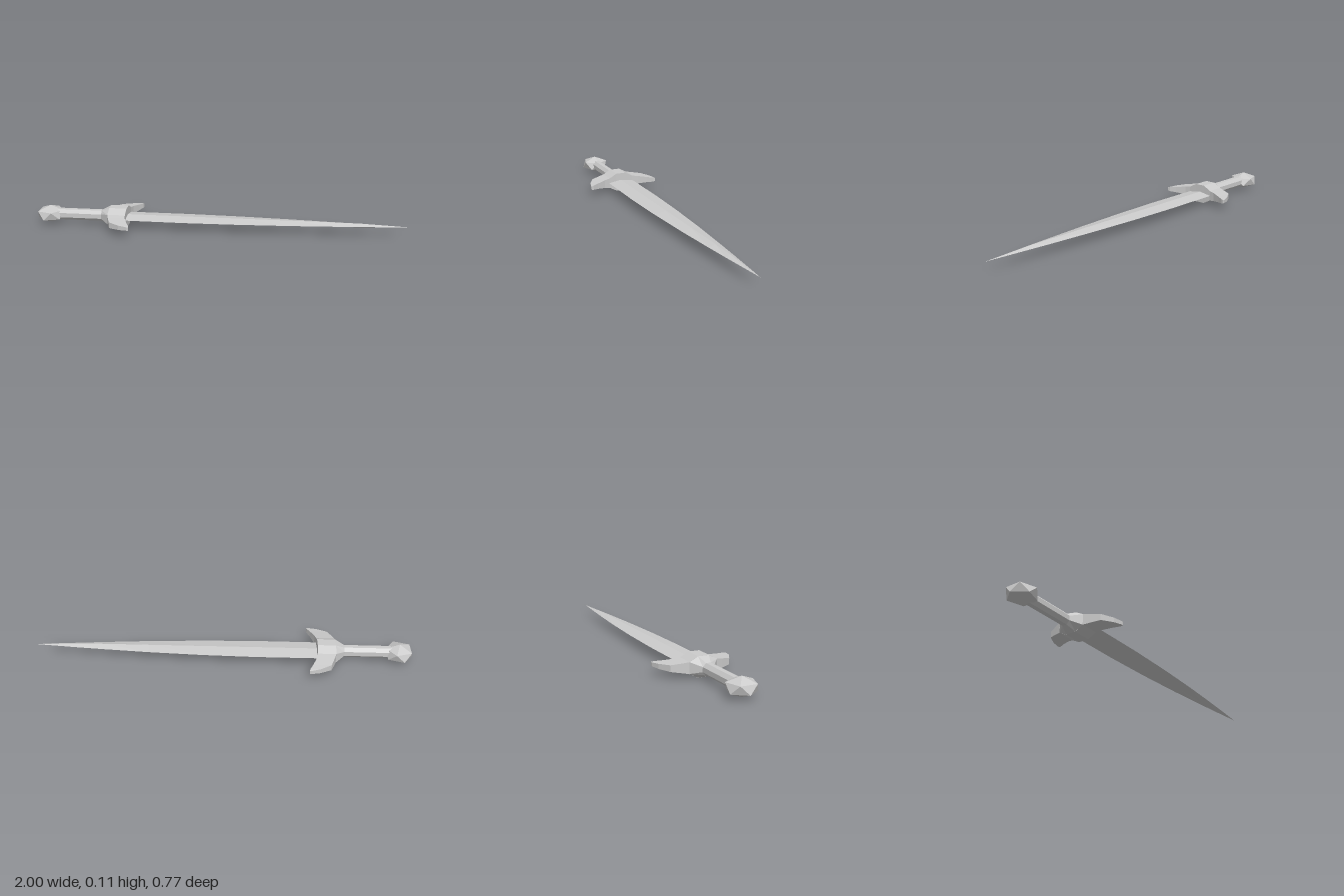
import * as THREE from 'three';

const material = new THREE.MeshStandardMaterial({ color: 0xcccccc, flatShading: true });

// Skin a series of equal-sized rings; rings run counter-clockwise about the loft direction
function loft(rings) {
  const pos = [];
  const tri = (...pts) => pts.forEach(p => pos.push(...p));
  const n = rings[0].length;
  for (let i = 0; i < rings.length - 1; i++) {
    for (let j = 0; j < n; j++) {
      const k = (j + 1) % n;
      const a = rings[i][j], b = rings[i][k], c = rings[i + 1][k], d = rings[i + 1][j];
      tri(a, b, c);
      tri(a, c, d);
    }
  }
  const first = rings[0], last = rings[rings.length - 1];
  for (let j = 1; j < n - 1; j++) {
    tri(first[0], first[j + 1], first[j]);
    tri(last[0], last[j], last[j + 1]);
  }
  const geo = new THREE.BufferGeometry();
  geo.setAttribute('position', new THREE.Float32BufferAttribute(pos, 3));
  geo.computeVertexNormals();
  return geo;
}

function part(name, geometry) {
  const mesh = new THREE.Mesh(geometry, material);
  mesh.name = name;
  return mesh;
}

// Eight-sided ring at x, mirrored from two corners (y, z)
function octagon(x, [y1, z1], [y2, z2]) {
  return [[x, y1, z1], [x, y2, z2], [x, -y2, z2], [x, -y1, z1],
    [x, -y1, -z1], [x, -y2, -z2], [x, y2, -z2], [x, y1, -z1]];
}

export function createModel() {
  const model = new THREE.Group();
  model.name = 'sword';

  // Sword lies along local x, with the pommel at the origin
  const sword = new THREE.Group();
  sword.name = 'swordBody';
  sword.position.set(-0.927, 0.055, 0.307);
  sword.rotation.y = 0.345;
  model.add(sword);

  // Pommel: flattened icosahedron with a corner pointing up
  const pommel = new THREE.IcosahedronGeometry(1, 0);
  pommel.rotateZ(-Math.atan(2 / (1 + Math.sqrt(5))));
  pommel.scale(0.086, 0.05, 0.086);
  sword.add(part('pommel', pommel));

  // Grip and the flared collar joining it to the guard
  const gripEnd = octagon(0.307, [0.031, 0.013], [0.013, 0.031]);
  const grip = [octagon(0.04, [0.031, 0.013], [0.013, 0.031]), gripEnd];
  sword.add(part('grip', loft(grip)));
  sword.add(part('collar', loft([gripEnd, octagon(0.358, [0.055, 0.03], [0.03, 0.077])])));

  // Guard: [distance from centre, back x, front x, half thickness]
  const half = [
    [0.03, 0.357, 0.458, 0.055],
    [0.077, 0.357, 0.459, 0.03],
    [0.11, 0.368, 0.465, 0.025],
    [0.165, 0.388, 0.488, 0.017],
    [0.2, 0.45, 0.506, 0.013],
    [0.214, 0.498, 0.508, 0.01],
  ];
  const stations = [...half.map(([z, ...r]) => [-z, ...r]).reverse(), ...half];
  sword.add(part('guard', loft(stations.map(([z, b, f, t]) =>
    [[f, -t, z], [f, t, z], [b, t, z], [b, -t, z]]))));

  // Blade: diamond section, [x, half width, half thickness]
  const blade = [
    [0.44, 0.079, 0.012], [0.8, 0.08, 0.012], [1.1, 0.072, 0.012],
    [1.4, 0.056, 0.012], [1.65, 0.037, 0.012], [1.79, 0.025, 0.011], [2.05, 0.0005, 0.0005],
  ];
  sword.add(part('blade', loft(blade.map(([x, w, t]) =>
    [[x, t, 0], [x, 0, w], [x, -t, 0], [x, 0, -w]]))));

  return model;
}
